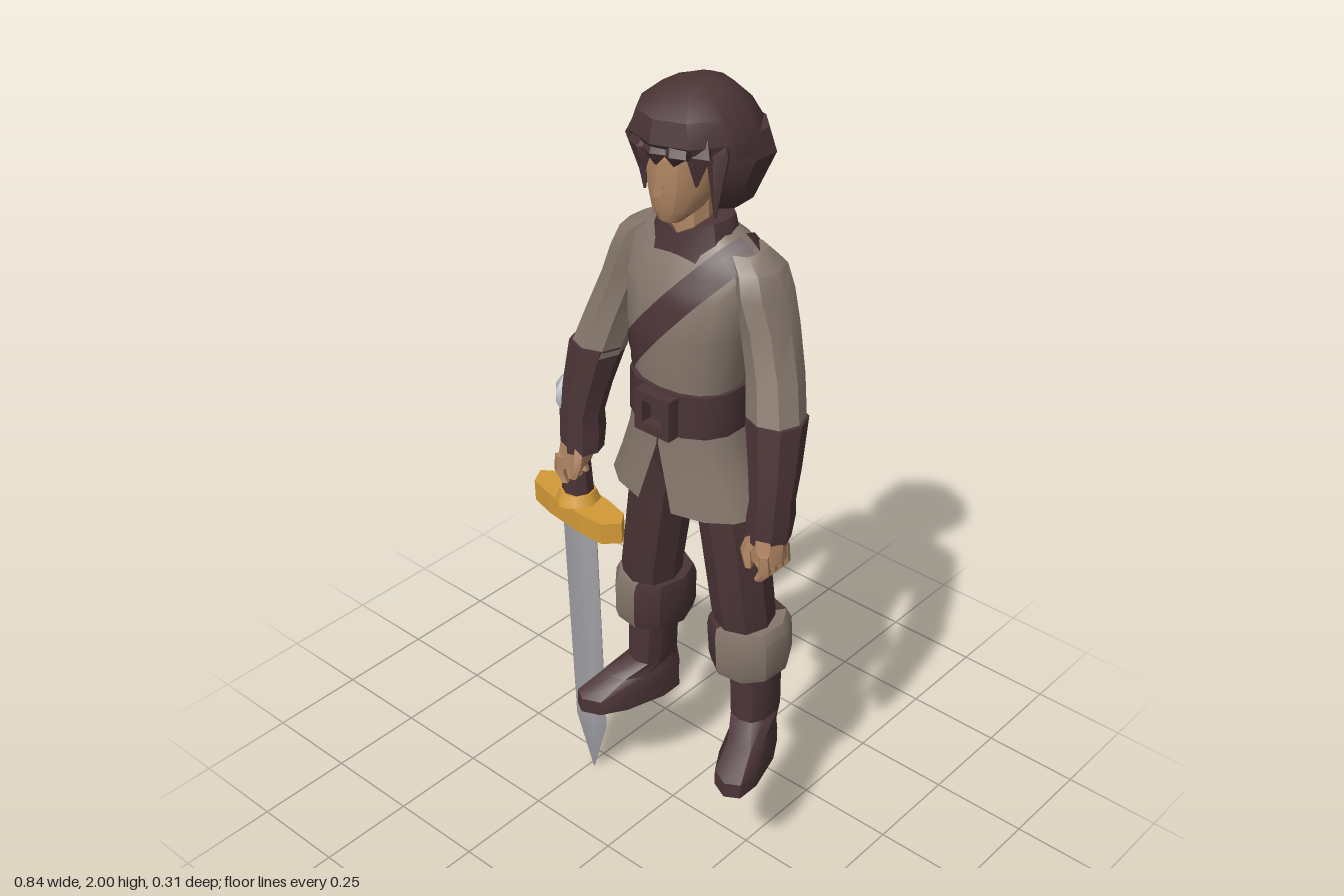
import * as THREE from 'three';
import { toCreasedNormals } from 'three/addons/utils/BufferGeometryUtils.js';

const mat = (name, color) => {
  const m = new THREE.MeshStandardMaterial({ color, side: THREE.DoubleSide });
  m.name = name;
  return m;
};
const TAU = Math.PI * 2;

// Builds triangles from a flat list of points and indices, with sharp creases.
function build(pos, idx, crease = 0.6) {
  const g = new THREE.BufferGeometry();
  g.setAttribute('position', new THREE.Float32BufferAttribute(pos, 3));
  g.setIndex(idx);
  return toCreasedNormals(g, crease);
}

// Skins horizontal rings [y, cx, cz, rx, rz, gap]; angle 0 faces the front.
function loft(rings, { n = 8, p = 0.9, a0 = 0, a1 = TAU, caps = true, rule } = {}) {
  const pos = [], idx = [], row = n + 1;
  const bend = (v) => Math.sign(v) * Math.abs(v) ** p;
  const push = (x, y, z) => {
    const v = new THREE.Vector3(x, y, z);
    if (rule) rule(v);
    pos.push(v.x, v.y, v.z);
  };
  for (const [y, cx, cz, rx, rz, gap = 0] of rings) {
    for (let i = 0; i <= n; i++) {
      const a = a0 + gap + ((a1 - a0 - 2 * gap) * i) / n;
      push(cx + rx * bend(Math.sin(a)), y, cz + rz * bend(Math.cos(a)));
    }
  }
  for (let r = 0; r < rings.length - 1; r++) {
    for (let i = 0; i < n; i++) {
      const a = r * row + i, b = a + 1, c = a + row, d = c + 1;
      idx.push(a, b, d, a, d, c);
    }
  }
  if (caps) {
    [0, rings.length - 1].forEach((r, top) => {
      const c = pos.length / 3;
      push(rings[r][1], rings[r][0], rings[r][2]);
      for (let i = 0; i < n; i++) {
        const a = r * row + i;
        idx.push(...(top ? [c, a, a + 1] : [c, a + 1, a]));
      }
    });
  }
  return build(pos, idx);
}

// Torso rings, also used to lay the strap on the surface.
const TORSO = [
  [1.2, 0, 0.02, 0.13, 0.1], [1.33, 0, 0.02, 0.13, 0.1], [1.45, 0, 0.008, 0.155, 0.122],
  [1.55, 0, -0.002, 0.172, 0.116], [1.62, 0, -0.015, 0.175, 0.092],
  [1.665, 0, -0.015, 0.125, 0.068], [1.69, 0, -0.01, 0.07, 0.05],
];
const TP = 0.9;
function torsoZ(x, y, side) {
  let k = 0;
  while (k < TORSO.length - 2 && TORSO[k + 1][0] < y) k++;
  const t = THREE.MathUtils.clamp((y - TORSO[k][0]) / (TORSO[k + 1][0] - TORSO[k][0]), 0, 1);
  const [cz, rx, rz] = [2, 3, 4].map((j) => THREE.MathUtils.lerp(TORSO[k][j], TORSO[k + 1][j], t));
  const u = Math.min(Math.abs(x) / rx, 1);
  return cz + side * (rz * (1 - u ** (2 / TP)) ** (TP / 2) + 0.008);
}

// Diagonal band over one side of the torso.
function strap(side) {
  const pos = [], idx = [], N = 14, M = 3;
  for (let i = 0; i <= N; i++) {
    const t = i / N, x = 0.145 - 0.28 * t, y = 1.66 - 0.33 * t;
    for (let j = 0; j <= M; j++) {
      const w = (j / M - 0.5) * 0.066, px = x + w * 0.76, py = y - w * 0.65;
      pos.push(px, py, torsoZ(px, py, side));
      if (i < N && j < M) {
        const a = i * (M + 1) + j, b = a + 1, c = a + M + 1, d = c + 1;
        idx.push(...(side > 0 ? [a, c, b, b, c, d] : [a, b, c, b, d, c]));
      }
    }
  }
  return build(pos, idx, 0.9);
}

export function createModel() {
  const cloth = mat('tan cloth', 0x85766b);
  const leather = mat('dark brown leather', 0x4b3436);
  const skin = mat('skin', 0xb08562);
  const gold = mat('gold', 0xd39a36);
  const steel = mat('steel', 0xa0a0a6);
  const pale = mat('pale steel', 0xb8bdc2);

  const model = new THREE.Group();
  model.name = 'swordsman';
  const body = new THREE.Group();
  body.name = 'body';
  body.position.x = 0.0635;
  model.add(body);
  const add = (name, geo, m, parent = body) => {
    const mesh = new THREE.Mesh(geo, m);
    mesh.name = name;
    parent.add(mesh);
    return mesh;
  };

  // Torso, strap, belt and split skirt
  add('tunic', loft(TORSO, { n: 16, p: TP }), cloth);
  add('strapFront', strap(1), leather);
  add('strapBack', strap(-1), leather);
  add('belt', loft([[1.22, 0, 0.02, 0.142, 0.112], [1.325, 0, 0.02, 0.139, 0.112]], { n: 14 }), leather);
  const frame = new THREE.Shape([[-0.05, -0.05], [0.05, -0.05], [0.05, 0.05], [-0.05, 0.05]].map((q) => new THREE.Vector2(...q)));
  frame.holes.push(new THREE.Path([[-0.028, -0.028], [-0.028, 0.028], [0.028, 0.028], [0.028, -0.028]].map((q) => new THREE.Vector2(...q))));
  add('buckle', new THREE.ExtrudeGeometry(frame, { depth: 0.032, bevelEnabled: false }), leather)
    .position.set(0.011, 1.272, 0.126);
  add('skirt', loft([
    [1.02, 0, -0.003, 0.212, 0.143, 0.2], [1.1, 0, 0.005, 0.178, 0.128, 0.12],
    [1.18, 0, 0.015, 0.148, 0.112, 0.01], [1.235, 0, 0.02, 0.135, 0.105],
  ], { n: 14, caps: false }), cloth);
  add('hips', loft([[1.0, 0, -0.012, 0.07, 0.06], [1.07, 0, -0.01, 0.13, 0.085], [1.2, 0, 0.01, 0.125, 0.09]], { n: 10 }), leather);

  // Collar dips at the throat
  add('collar', loft([[1.625, 0, 0, 0.112, 0.082], [1.66, 0, -0.002, 0.1, 0.075], [1.708, 0, -0.004, 0.086, 0.068]], {
    n: 12,
    rule: (v) => { if (v.z > 0.03) v.y -= 0.035 * Math.max(0, 1 - Math.abs(v.x) / 0.08); },
  }), leather);

  // Head
  add('neck', loft([[1.64, 0, 0.015, 0.05, 0.048], [1.78, 0, 0.015, 0.045, 0.045]]), skin);
  add('head', loft([
    [1.715, 0, 0.08, 0.028, 0.026], [1.74, 0, 0.06, 0.052, 0.056], [1.79, 0, 0.035, 0.074, 0.086],
    [1.86, 0, 0.022, 0.08, 0.102], [1.94, 0, 0.01, 0.075, 0.09],
  ], { n: 12 }), skin);
  add('nose', loft([[1.78, 0, 0.122, 0.013, 0.017], [1.83, 0, 0.118, 0.006, 0.008]], { n: 4, p: 1 }), skin);

  // Hair: crown, back and pointed fringe
  add('hairCrown', loft([
    [1.865, 0, 0, 0.146, 0.118], [1.9, 0, 0, 0.14, 0.148], [1.95, 0, 0.01, 0.115, 0.128],
    [1.985, 0, 0.005, 0.072, 0.085], [2.0, 0, 0, 0.03, 0.045],
  ], { n: 10, p: 1 }), leather);
  add('hairBack', loft([
    [1.7, 0, -0.07, 0.05, 0.038], [1.735, 0, -0.058, 0.095, 0.062], [1.79, 0, -0.05, 0.123, 0.088],
    [1.85, 0, -0.052, 0.15, 0.105], [1.905, 0, -0.04, 0.138, 0.1],
  ], { n: 10, p: 0.95 }), leather);
  for (const [x, z, tip, r] of [
    [-0.105, 0.055, 1.745, 0.032], [-0.08, 0.09, 1.8, 0.036], [-0.045, 0.118, 1.825, 0.036],
    [0, 0.128, 1.85, 0.034], [0.045, 0.12, 1.855, 0.036], [0.082, 0.09, 1.81, 0.036], [0.105, 0.055, 1.735, 0.032],
  ]) {
    add('fringe', loft([[tip, x * 0.93, z, 0.003, 0.003], [1.88, x, z, r, 0.02], [1.94, x * 0.8, z * 0.75, r * 0.7, 0.03]], { n: 5, p: 1 }), leather);
  }

  for (const s of [1, -1]) {
    const side = s > 0 ? 'left' : 'right';
    const flip = (rings) => rings.map(([y, cx, ...rest]) => [y, s * cx, ...rest]);

    // Arm
    add(side + 'Sleeve', loft(flip([
      [1.295, 0.263, 0.037, 0.064, 0.064], [1.4, 0.235, 0.01, 0.06, 0.064], [1.5, 0.2, -0.01, 0.058, 0.068],
      [1.57, 0.175, -0.016, 0.056, 0.075], [1.62, 0.158, -0.02, 0.052, 0.068], [1.65, 0.125, -0.02, 0.04, 0.05],
    ])), cloth);
    add(side + 'Gauntlet', loft(flip([
      [1.035, 0.283, 0.078, 0.05, 0.05], [1.09, 0.285, 0.072, 0.052, 0.054], [1.13, 0.286, 0.07, 0.048, 0.052],
      [1.2, 0.28, 0.058, 0.056, 0.057], [1.315, 0.262, 0.034, 0.067, 0.067],
    ])), leather);
    add(side + 'Palm', loft(flip([[0.99, 0.3, 0.09, 0.034, 0.045], [1.05, 0.288, 0.082, 0.042, 0.045]])), skin);
    for (let f = 0; f < 4; f++) {
      const z = 0.056 + f * 0.023;
      add(side + 'Finger', loft(flip([[0.95, 0.298, z, 0.011, 0.01], [0.975, 0.314, z, 0.016, 0.012], [1.02, 0.308, z, 0.017, 0.013]]), { n: 5 }), skin);
    }
    add(side + 'Thumb', loft(flip([[0.972, 0.268, 0.125, 0.01, 0.01], [1.01, 0.258, 0.12, 0.015, 0.016], [1.06, 0.268, 0.1, 0.016, 0.018]]), { n: 5 }), skin);

    // Leg
    add(side + 'Leg', loft(flip([
      [0.6, 0.152, -0.03, 0.062, 0.068], [0.72, 0.145, -0.015, 0.07, 0.077],
      [0.95, 0.11, -0.012, 0.074, 0.08], [1.12, 0.08, -0.005, 0.076, 0.082],
    ])), leather);

    // Knee cuff, tan outside and dark inside
    const cuff = flip([
      [0.555, 0.155, -0.035, 0.088, 0.097], [0.58, 0.155, -0.035, 0.093, 0.105],
      [0.665, 0.152, -0.032, 0.095, 0.104], [0.69, 0.148, -0.03, 0.086, 0.096],
    ]);
    const [from, to] = s > 0 ? [-0.2, 2.5] : [-2.5, 0.2];
    add(side + 'CuffOuter', loft(cuff, { n: 4, a0: from, a1: to }), cloth);
    add(side + 'CuffInner', loft(cuff, { n: 5, a0: to, a1: from + TAU }), leather);

    // Boot with the toe turned outwards
    add(side + 'Boot', loft(flip([
      [0.29, 0.175, 0.022, 0.062, 0.134], [0.33, 0.175, 0.022, 0.062, 0.132], [0.372, 0.172, -0.015, 0.054, 0.092],
      [0.41, 0.17, -0.042, 0.05, 0.066], [0.58, 0.165, -0.042, 0.056, 0.064],
    ]), { n: 10, p: 0.8, rule: (v) => { if (v.y < 0.4) v.x += s * 0.3 * (v.z + 0.05); } }), leather);
  }

  // Sword, point down in the right hand
  const sword = new THREE.Group();
  sword.name = 'sword';
  sword.position.set(-0.238, 0, 0.05);
  sword.rotation.set(0, -0.16, 0.04);
  model.add(sword);
  add('blade', loft([[0, 0, 0, 0.002, 0.002], [0.17, 0, 0, 0.066, 0.026], [0.83, 0, 0, 0.066, 0.03]],
    { n: 6, p: 1, a0: Math.PI / 6, a1: TAU + Math.PI / 6 }), steel, sword);
  const half = [[0, 0.046], [0.06, 0.046], [0.135, 0.036], [0.166, 0.004], [0.135, -0.036], [0.06, -0.046], [0, -0.046]];
  const outline = [...half, ...half.slice(1, -1).reverse().map(([x, z]) => [-x, z])];
  const guard = new THREE.ExtrudeGeometry(new THREE.Shape(outline.map((q) => new THREE.Vector2(...q))), { depth: 0.056, bevelEnabled: false });
  guard.rotateX(-Math.PI / 2);
  add('guard', guard, gold, sword).position.y = 0.793;
  add('guardCollar', new THREE.CylinderGeometry(0.045, 0.058, 0.03, 8), gold, sword).position.y = 0.86;
  add('grip', loft([[0.86, 0, 0, 0.04, 0.038], [0.95, 0, 0, 0.036, 0.034], [1.12, 0, 0, 0.032, 0.032]]), leather, sword);
  add('pommel', loft([[1.1, 0, 0, 0.022, 0.03], [1.13, 0, 0, 0.036, 0.048], [1.165, 0, 0, 0.034, 0.046], [1.19, 0, 0, 0.018, 0.026]], { n: 6 }), pale, sword);

  return model;
}
